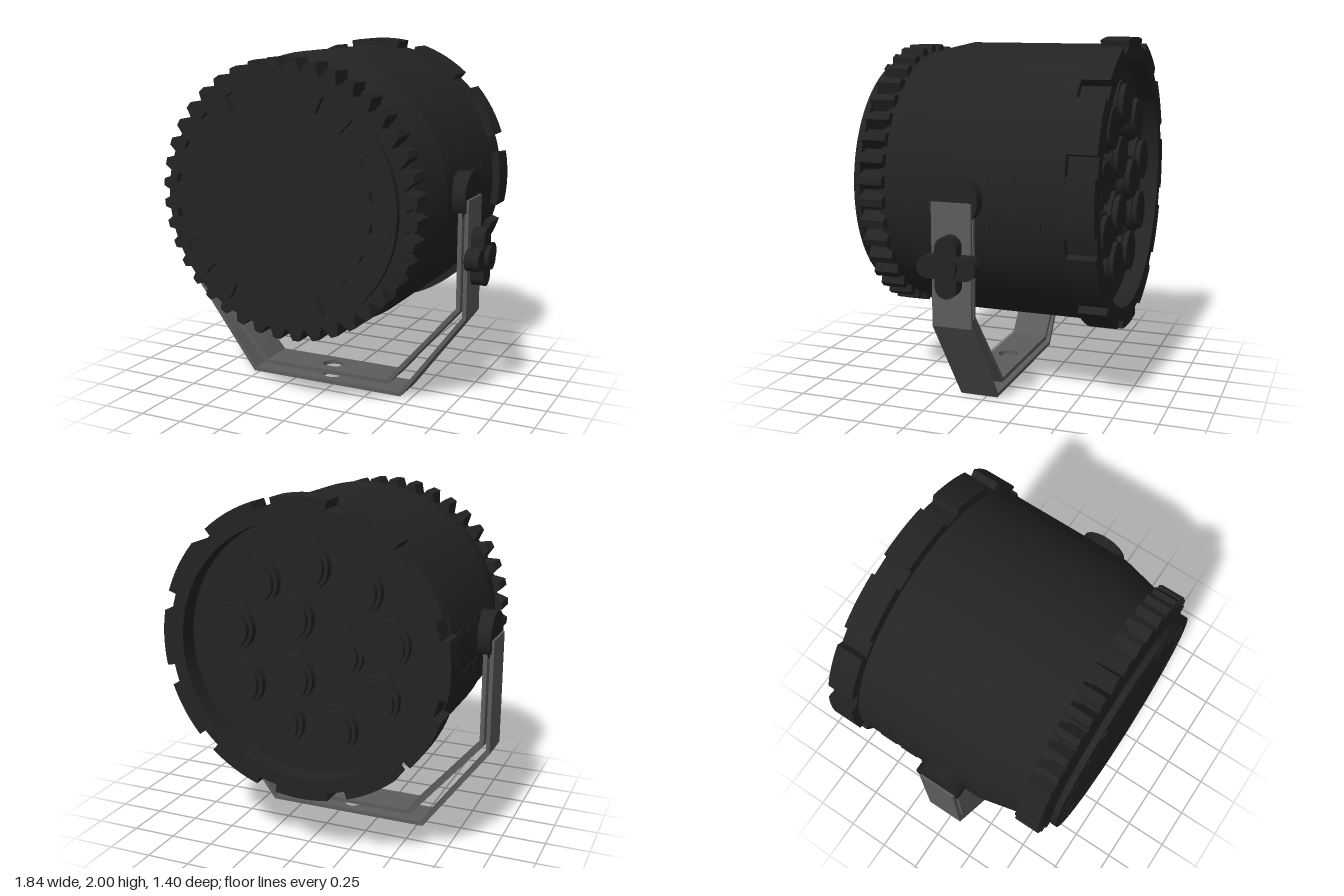
import * as THREE from 'three';
import { toCreasedNormals } from 'three/addons/utils/BufferGeometryUtils.js';

export function createModel() {
  const model = new THREE.Group();
  model.name = 'stageLight';
  const black = new THREE.MeshStandardMaterial({ color: 0x232323 });
  black.name = 'black housing';
  const grey = new THREE.MeshStandardMaterial({ color: 0x5c5c5e });
  grey.name = 'grey bracket';

  const CX = -0.05, CY = 1.18, BZ = 0.045; // lamp axis and bracket centre plane

  const add = (parent, name, geo, mat, x = 0, y = 0, z = 0) => {
    const m = new THREE.Mesh(geo, mat);
    m.name = name;
    m.position.set(x, y, z);
    parent.add(m);
    return m;
  };
  const extrude = (shape, depth, curveSegments = 24) => toCreasedNormals(
    new THREE.ExtrudeGeometry(shape, { depth, bevelEnabled: false, curveSegments }), 0.5);
  // cylinder along z from z0 to z1
  const drum = (r0, r1, z0, z1, seg = 72) =>
    new THREE.CylinderGeometry(r1, r0, z1 - z0, seg).rotateX(Math.PI / 2).translate(0, 0, (z0 + z1) / 2);
  const circle = (r) => new THREE.Path().absarc(0, 0, r, 0, Math.PI * 2, true);
  const polar = (r, a) => new THREE.Vector2(r * Math.cos(a), r * Math.sin(a));

  // Lamp: everything centred on the optical axis
  const lamp = new THREE.Group();
  lamp.name = 'lamp';
  lamp.position.set(CX, CY, 0);
  model.add(lamp);
  add(lamp, 'housingDrum', drum(0.78, 0.78, -0.53, 0.25), black);
  add(lamp, 'housingTaper', drum(0.78, 0.715, 0.25, 0.53), black);

  // Toothed cooling ring
  const TEETH = 40, step = Math.PI * 2 / TEETH, teeth = [];
  for (let i = 0; i < TEETH; i++) {
    [[0.70, 0], [0.70, 0.1], [0.765, 0.38], [0.765, 0.72]]
      .forEach(([r, f]) => teeth.push(polar(r, (i + f) * step)));
  }
  add(lamp, 'toothedRing', extrude(new THREE.Shape(teeth), 0.14), black, 0, 0, 0.49);

  // Slotted front cover
  const cover = new THREE.Shape().absarc(0, 0, 0.68, 0, Math.PI * 2, false);
  for (let i = 0; i < 20; i++) {
    const deg = 9 + i * 18;
    if (Math.abs(Math.sin(deg * Math.PI / 180)) > 0.95) continue;
    const a = deg * Math.PI / 180;
    const o = new THREE.Vector2();
    cover.holes.push(new THREE.Path(
      [[0.535, -0.026], [0.535, 0.026], [0.635, 0.026], [0.635, -0.026]]
        .map(([u, v]) => new THREE.Vector2(u, v).rotateAround(o, a))));
  }
  add(lamp, 'frontCover', extrude(cover, 0.035, 72), black, 0, 0, 0.663);

  // Notched rim around the lenses
  const rim = [], half = 11 * Math.PI / 180, pitch = Math.PI / 6;
  for (let i = 0; i < 12; i++) {
    for (let k = 0; k <= 6; k++) rim.push(polar(0.82, i * pitch + half * (k / 3 - 1)));
    for (let k = 0; k <= 2; k++) rim.push(polar(0.775, i * pitch + half + (pitch - 2 * half) * k / 2));
  }
  const rimShape = new THREE.Shape(rim);
  rimShape.holes.push(circle(0.7));
  add(lamp, 'rearRim', extrude(rimShape, 0.157, 72), black, 0, 0, -0.7);
  add(lamp, 'lensPlate', drum(0.71, 0.71, -0.59, -0.546), black);

  // Twelve lenses: three inside, nine outside
  const addLens = (r, deg) => {
    const p = polar(r, deg * Math.PI / 180);
    const lens = new THREE.Group();
    lens.name = 'lens';
    lens.position.set(p.x, p.y, 0);
    lamp.add(lens);
    add(lens, 'lensCollar', drum(0.135, 0.135, -0.635, -0.58, 32), black);
    add(lens, 'lensGlass', drum(0.115, 0.115, -0.665, -0.63, 32), black);
  };
  for (let i = 0; i < 3; i++) addLens(0.19, 60 + i * 120);
  for (let i = 0; i < 9; i++) addLens(0.45, 10 + i * 40);

  // Side vents and pivots, mirrored
  for (const s of [1, -1]) {
    for (const dy of [0.12, -0.118]) {
      const a = Math.asin(dy / 0.78);
      for (let i = 0; i < 3; i++) {
        const vent = add(lamp, 'sideVent', new THREE.BoxGeometry(0.009, 0.04, 0.1), black,
          s * 0.78 * Math.cos(a), dy, -0.08 - i * 0.14);
        vent.rotation.z = s * a;
      }
    }
    add(lamp, 'pivot', new THREE.CylinderGeometry(0.138, 0.138, 0.14, 40).rotateZ(Math.PI / 2), black,
      s * 0.785, 0.005, 0.042);
  }

  // Bracket: two nested straps, each with a drilled base and two bent arms
  const WIDTH = 0.22;
  const bracket = new THREE.Group();
  bracket.name = 'bracket';
  bracket.position.set(CX, 0, BZ);
  model.add(bracket);
  const strap = (name, x, top, bend, foot, y, t) => {
    const w = WIDTH / 2;
    const base = new THREE.Shape([[-foot, -w], [foot, -w], [foot, w], [-foot, w]]
      .map(([u, v]) => new THREE.Vector2(u, v)));
    base.holes.push(circle(0.06));
    add(bracket, name + 'Base', extrude(base, t).rotateX(-Math.PI / 2), grey, 0, y, 0);
    const arm = [[foot, y], [x, bend], [x, top], [x - t, top], [x - t, bend + t * 0.35], [foot - t * 0.5, y + t], [foot - t, y]];
    for (const s of [1, -1]) {
      const shape = new THREE.Shape(arm.map(([u, v]) => new THREE.Vector2(s * u, v)));
      add(bracket, name + 'Arm', extrude(shape, WIDTH), grey, 0, 0, -w);
    }
  };
  strap('outerStrap', 0.868, 1.18, 0.515, 0.485, 0, 0.022);
  strap('innerStrap', 0.832, 1.12, 0.56, 0.405, 0.062, 0.024);

  // Locking knob with four rounded lobes
  const knob = new THREE.Group();
  knob.name = 'lockingKnob';
  knob.position.set(0.815, 0.853, BZ);
  knob.rotation.y = Math.PI / 2;
  model.add(knob);
  const lobe = new THREE.Shape();
  lobe.absarc(0.103, 0, 0.06, -Math.PI / 2, Math.PI / 2, false);
  lobe.absarc(-0.103, 0, 0.06, Math.PI / 2, Math.PI * 1.5, false);
  add(knob, 'knobLobes', extrude(lobe, 0.08), black);
  add(knob, 'knobCrossLobes', extrude(lobe, 0.079), black).rotation.z = Math.PI / 2;
  add(knob, 'knobHub', drum(0.066, 0.066, 0, 0.107, 32), black);

  return model;
}
